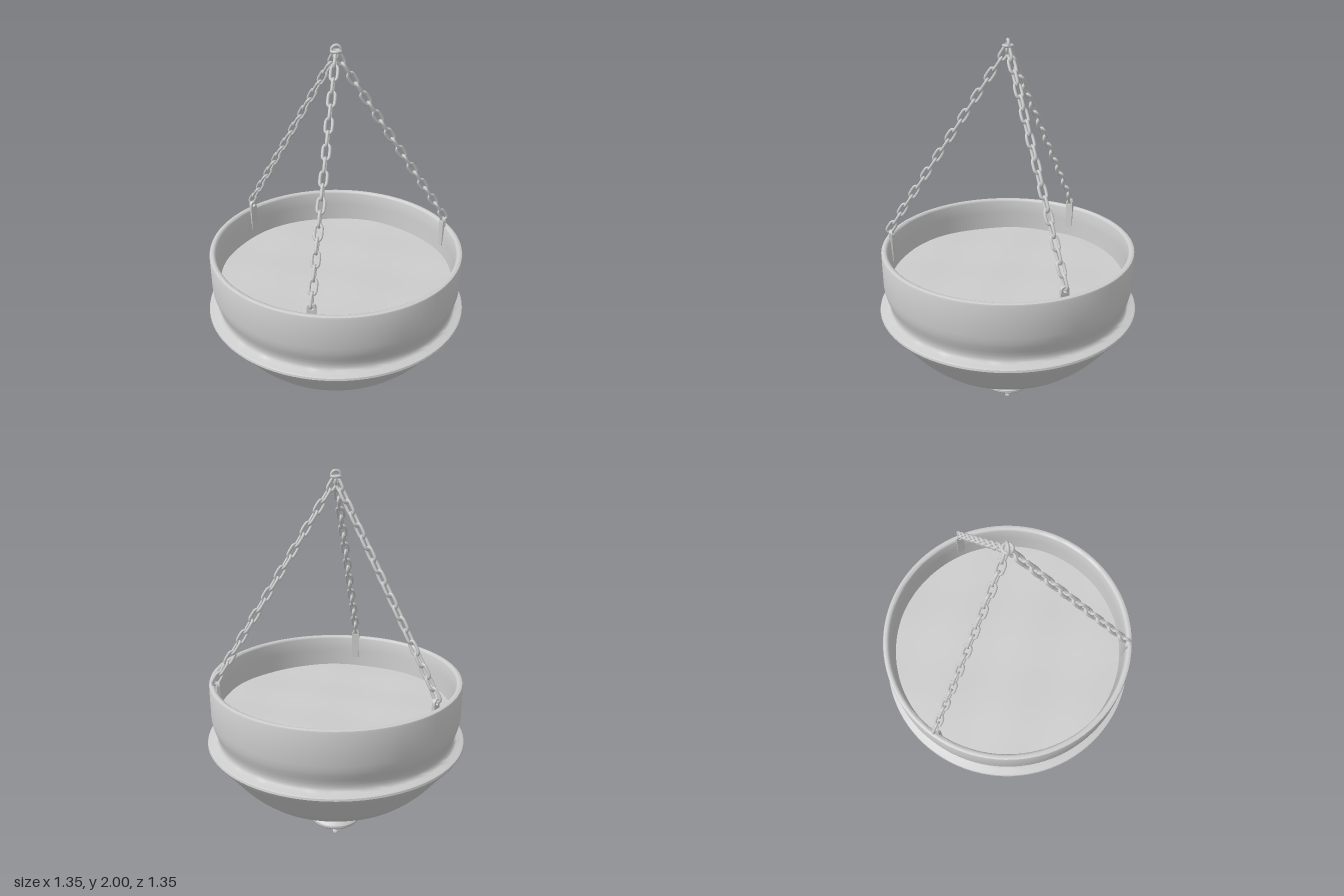
import * as THREE from 'three';
import { toCreasedNormals } from 'three/addons/utils/BufferGeometryUtils.js';

const material = new THREE.MeshStandardMaterial({ color: 0xcccccc });

function addMesh(parent, name, geometry) {
  const mesh = new THREE.Mesh(geometry, material);
  mesh.name = name;
  parent.add(mesh);
  return mesh;
}

// Turned form from [radius, height] pairs, listed from the bottom up
function turned(profile, segments) {
  const points = profile.map(([r, y]) => new THREE.Vector2(r, y));
  return toCreasedNormals(new THREE.LatheGeometry(points, segments), 0.7);
}

// Oval chain link, long axis along y, lying in the xy plane
function linkGeometry(length, width, wire) {
  const r = width / 2 - wire;
  const straight = length / 2 - wire - r;
  const points = [];
  for (let i = 0; i < 16; i++) {
    const a = ((i + 0.5) / 16) * Math.PI * 2;
    points.push(new THREE.Vector3(Math.cos(a) * r, Math.sin(a) * r + Math.sign(Math.sin(a)) * straight, 0));
  }
  return new THREE.TubeGeometry(new THREE.CatmullRomCurve3(points, true), 28, wire, 8, true);
}

export function createModel() {
  const model = new THREE.Group();
  model.name = 'hangingPlanter';

  // Bowl: shallow belly, projecting lip, waisted neck and upright hollow rim
  addMesh(model, 'bowl', turned([
    [0, 0.25], [0.07, 0.257], [0.12, 0.267], [0.2, 0.284], [0.28, 0.305], [0.35, 0.327],
    [0.41, 0.352], [0.467, 0.383], [0.51, 0.422], [0.548, 0.463], [0.6, 0.53],
    [0.64, 0.58], [0.668, 0.613], [0.677, 0.628], [0.674, 0.638], [0.665, 0.643],
    [0.635, 0.643], [0.626, 0.65], [0.622, 0.665], [0.624, 0.685], [0.632, 0.71],
    [0.641, 0.735], [0.647, 0.76], [0.65, 0.79], [0.65, 0.955], [0.647, 0.962],
    [0.641, 0.965], [0.63, 0.965], [0.622, 0.961], [0.618, 0.952], [0.614, 0.88], [0.606, 0.77],
  ], 96));

  // Soil: disc with gentle undulations
  const soil = new THREE.RingGeometry(0.001, 0.612, 64, 12);
  soil.rotateX(-Math.PI / 2);
  const pos = soil.attributes.position;
  for (let i = 0; i < pos.count; i++) {
    const x = pos.getX(i), z = pos.getZ(i);
    pos.setY(i, 0.79 + 0.004 * Math.sin(x * 9 + z * 4) * Math.cos(z * 11 - x * 3));
  }
  soil.computeVertexNormals();
  addMesh(model, 'soil', soil);

  // Turned finial under the bowl
  addMesh(model, 'finial', turned([
    [0, 0], [0.012, 0.001], [0.018, 0.008], [0.018, 0.018], [0.012, 0.026], [0.014, 0.034],
    [0.027, 0.045], [0.037, 0.06], [0.042, 0.078], [0.06, 0.086], [0.095, 0.093],
    [0.125, 0.105], [0.137, 0.118], [0.137, 0.13], [0.125, 0.144], [0.098, 0.159],
    [0.068, 0.17], [0.068, 0.18], [0.05, 0.186], [0.039, 0.2], [0.042, 0.214],
    [0.058, 0.224], [0.076, 0.236], [0.082, 0.248], [0.08, 0.257], [0, 0.26],
  ], 48));

  // Three chains, each with a strap fixed to the inside of the rim
  const link = linkGeometry(0.084, 0.046, 0.0075);
  const top = new THREE.Vector3(0, 1.955, 0);
  const foot = new THREE.Vector3(0.622, 1.012, 0);
  const along = top.clone().sub(foot).normalize();
  const lean = new THREE.Quaternion().setFromUnitVectors(new THREE.Vector3(0, 1, 0), along);
  const count = 19;

  // Strap with an eye in its upper end
  const strapShape = new THREE.Shape();
  strapShape.moveTo(-0.021, 0.84);
  strapShape.lineTo(0.021, 0.84);
  strapShape.lineTo(0.021, 0.99);
  strapShape.absarc(0, 0.99, 0.021, 0, Math.PI, false);
  strapShape.closePath();
  const eye = new THREE.Path();
  eye.absarc(0, 0.99, 0.011, 0, Math.PI * 2, true);
  strapShape.holes.push(eye);
  const strapGeometry = new THREE.ExtrudeGeometry(strapShape, {
    depth: 0.016, bevelEnabled: false, curveSegments: 12,
  });
  strapGeometry.rotateY(Math.PI / 2);
  strapGeometry.translate(0.607, 0, 0);

  for (let k = 0; k < 3; k++) {
    const arm = new THREE.Group();
    arm.name = 'chain' + (k + 1);
    arm.rotation.y = Math.PI / 3 + (k * Math.PI * 2) / 3;
    addMesh(arm, 'strap', strapGeometry);
    for (let i = 0; i < count; i++) {
      const mesh = addMesh(arm, 'link', link);
      mesh.position.lerpVectors(foot, top, (i + 0.3) / (count - 0.2));
      mesh.quaternion.copy(lean);
      if (i % 2) mesh.rotateY(Math.PI / 2);
    }
    model.add(arm);
  }

  // Gathering rings at the top
  const ring = new THREE.TorusGeometry(0.021, 0.0075, 8, 24);
  const flat = addMesh(model, 'gatheringRing', ring);
  flat.rotation.x = Math.PI / 2;
  flat.position.y = 1.965;
  const upright = addMesh(model, 'hangingRing', ring);
  upright.rotation.y = Math.PI / 4;
  upright.position.y = 1.9715;

  return model;
}
